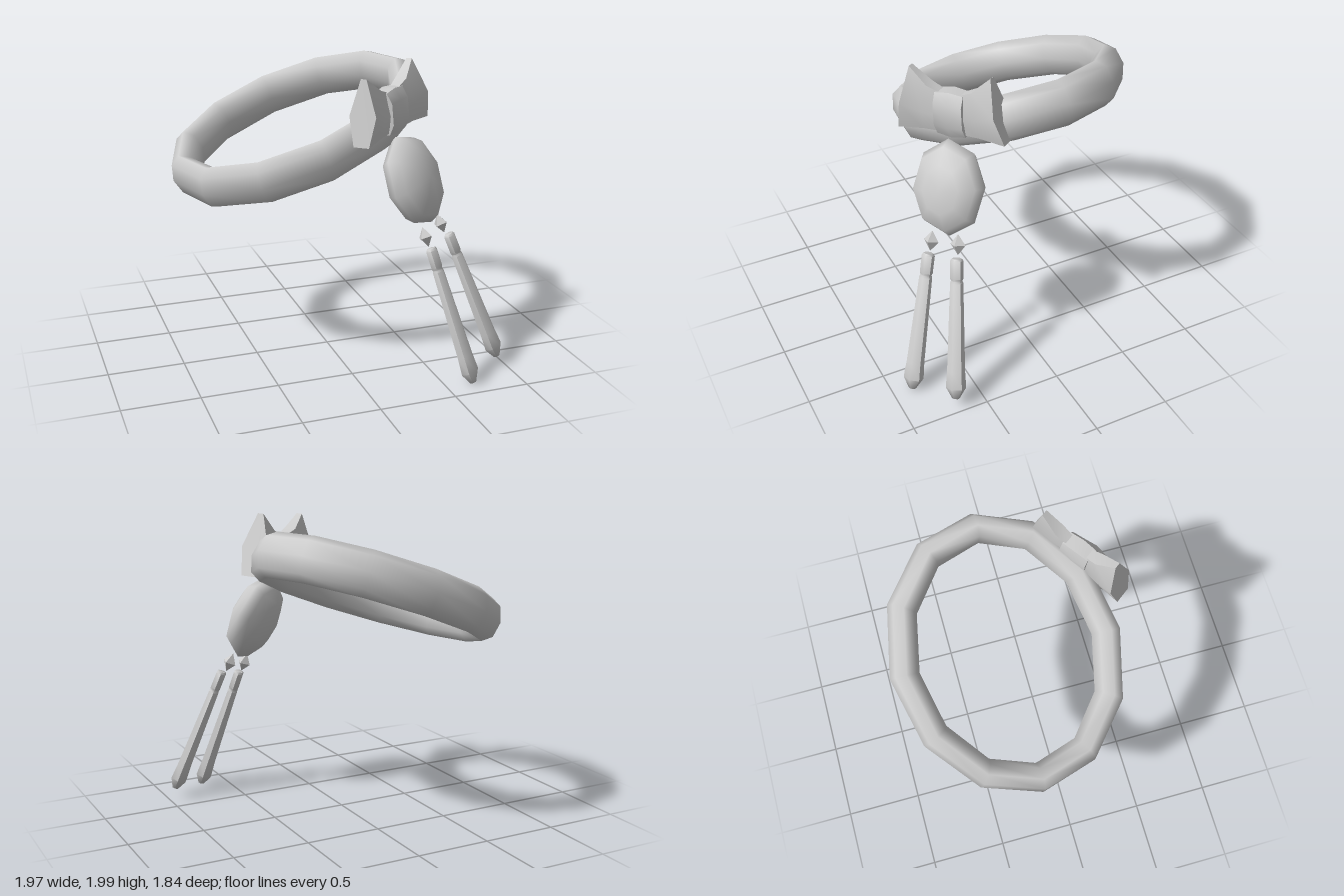
import * as THREE from 'three';
import { toCreasedNormals } from 'three/addons/utils/BufferGeometryUtils.js';

const V = (x, y, z) => new THREE.Vector3(x, y, z);
const material = new THREE.MeshStandardMaterial({ color: 0xcccccc });

function mesh(name, geometry) {
  const m = new THREE.Mesh(geometry, material);
  m.name = name;
  return m;
}

// Skin a list of equal-length cross-sections; either closed in a ring or capped.
function loft(sections, closed = false) {
  const n = sections[0].length, count = sections.length;
  const points = sections.flat(), index = [];
  for (let i = 0; i < (closed ? count : count - 1); i++) {
    const p = i * n, q = ((i + 1) % count) * n;
    for (let j = 0; j < n; j++) {
      const k = (j + 1) % n;
      index.push(p + j, p + k, q + k, p + j, q + k, q + j);
    }
  }
  if (!closed) {
    const last = (count - 1) * n;
    for (let j = 1; j < n - 1; j++) {
      index.push(0, j + 1, j, last, last + j, last + j + 1);
    }
  }
  const g = new THREE.BufferGeometry().setFromPoints(points);
  g.setIndex(index);
  g.computeVertexNormals();
  return g;
}

// Place an object with its y axis along "up" and its x axis near "side".
function orient(object, position, up, side) {
  const u = up.clone().normalize();
  const n = side.clone().cross(u).normalize();
  const t = u.clone().cross(n);
  object.quaternion.setFromRotationMatrix(new THREE.Matrix4().makeBasis(t, u, n));
  object.position.copy(position);
  return object;
}

const SIDE = V(0.79, 0.13, -0.6); // width direction of bow and pendant

// Tilted oval band: 12 segments with a tall eight-sided section
function band() {
  const a = V(1, 0.365, 0).normalize(), b = V(0, -0.114, 1).normalize();
  const up = b.clone().cross(a).normalize();
  const sections = [];
  for (let i = 0; i < 12; i++) {
    const t = (i / 12) * Math.PI * 2, ring = [];
    for (let j = 0; j < 8; j++) {
      const f = (j / 8) * Math.PI * 2, w = 0.092 * Math.cos(f);
      ring.push(V(-0.15, 1.505, -0.205)
        .addScaledVector(a, (0.788 + w) * Math.cos(t))
        .addScaledVector(b, (0.64 + w) * Math.sin(t))
        .addScaledVector(up, 0.145 * Math.sin(f)));
    }
    sections.push(ring);
  }
  return mesh('band', loft(sections, true));
}

// Bow: two flared loops around a rounded knot
function bow() {
  const group = new THREE.Group();
  group.name = 'bow';
  // Six-point section: top and bottom height, their x, and three half-thicknesses
  const section = (sign, xTop, xBottom, top, bottom, tTop, tMid, tBottom) => {
    const mid = (top + bottom) / 2 - 0.02, x = (xTop + xBottom) / 2;
    return [
      V(sign * xTop, top, -tTop), V(sign * xTop, top, tTop), V(sign * x, mid, tMid),
      V(sign * xBottom, bottom, tBottom), V(sign * xBottom, bottom, -tBottom), V(sign * x, mid, -tMid),
    ];
  };
  for (const sign of [-1, 1]) {
    const rings = [
      section(sign, 0.05, 0.05, 0.06, -0.19, 0.03, 0.05, 0.03),
      section(sign, 0.15, 0.19, 0.1, -0.185, 0.04, 0.075, 0.045),
      section(sign, 0.27, 0.36, 0.2, -0.2, 0.02, 0.095, 0.055),
    ];
    if (sign < 0) rings.reverse();
    group.add(mesh(sign < 0 ? 'rightLoop' : 'leftLoop', toCreasedNormals(loft(rings), 0.9)));
  }
  const knot = [-0.095, 0, 0.095].map((x) => {
    const s = x === 0 ? 1.04 : 0.95;
    return [[0.14, -0.045], [0.14, 0.045], [0.07, 0.08], [-0.07, 0.08],
      [-0.14, 0.045], [-0.14, -0.045], [-0.07, -0.07], [0.07, -0.07]]
      .map(([y, z]) => V(x, y * s - 0.065, z * s));
  });
  group.add(mesh('knot', toCreasedNormals(loft(knot), 0.9)));
  return orient(group, V(0.28, 1.765, 0.368), V(-0.1, 1, 0), SIDE);
}

// Flattened oval pendant, leaning outward at its lower end
function pendant() {
  const g = new THREE.SphereGeometry(1, 8, 6);
  g.rotateX(Math.PI / 2).rotateZ(0.12).scale(0.245, 0.3, 0.135);
  return orient(mesh('pendant', g), V(0.415, 1.265, 0.465), V(-0.17, 0.55, -0.14), SIDE);
}

// Tassel: tapered, faceted rod with a collar and a blunt tip, plus its bead
function tassel(name, top, tip, beadAt) {
  const group = new THREE.Group();
  group.name = name;
  const axis = top.clone().sub(tip), length = axis.length();
  const profile = [[0, 0], [0.025, 0.004], [0.066, 0.075], [0.058, 0.2], [0.042, 0.83],
    [0.036, 0.845], [0.042, 0.86], [0.042, 0.985], [0.033, 1], [0, 1]]
    .map(([r, h]) => new THREE.Vector2(r, h * (h > 0.1 ? length : 1)));
  const rod = toCreasedNormals(new THREE.LatheGeometry(profile, 6).scale(1, 1, 0.85), 1.1);
  group.add(orient(mesh('rod', rod), tip, axis, SIDE));
  const bead = toCreasedNormals(new THREE.OctahedronGeometry(1).scale(0.052, 0.066, 0.048), 0.6);
  group.add(orient(mesh('bead', bead), beadAt, axis, SIDE));
  return group;
}

export function createModel() {
  const model = new THREE.Group();
  model.name = 'bandWithBow';
  model.add(
    band(),
    bow(),
    pendant(),
    tassel('rightTassel', V(0.468, 0.86, 0.637), V(0.685, 0.005, 0.875), V(0.443, 0.928, 0.605)),
    tassel('leftTassel', V(0.64, 0.9, 0.525), V(0.945, 0.065, 0.69), V(0.595, 0.965, 0.495)),
  );
  return model;
}
